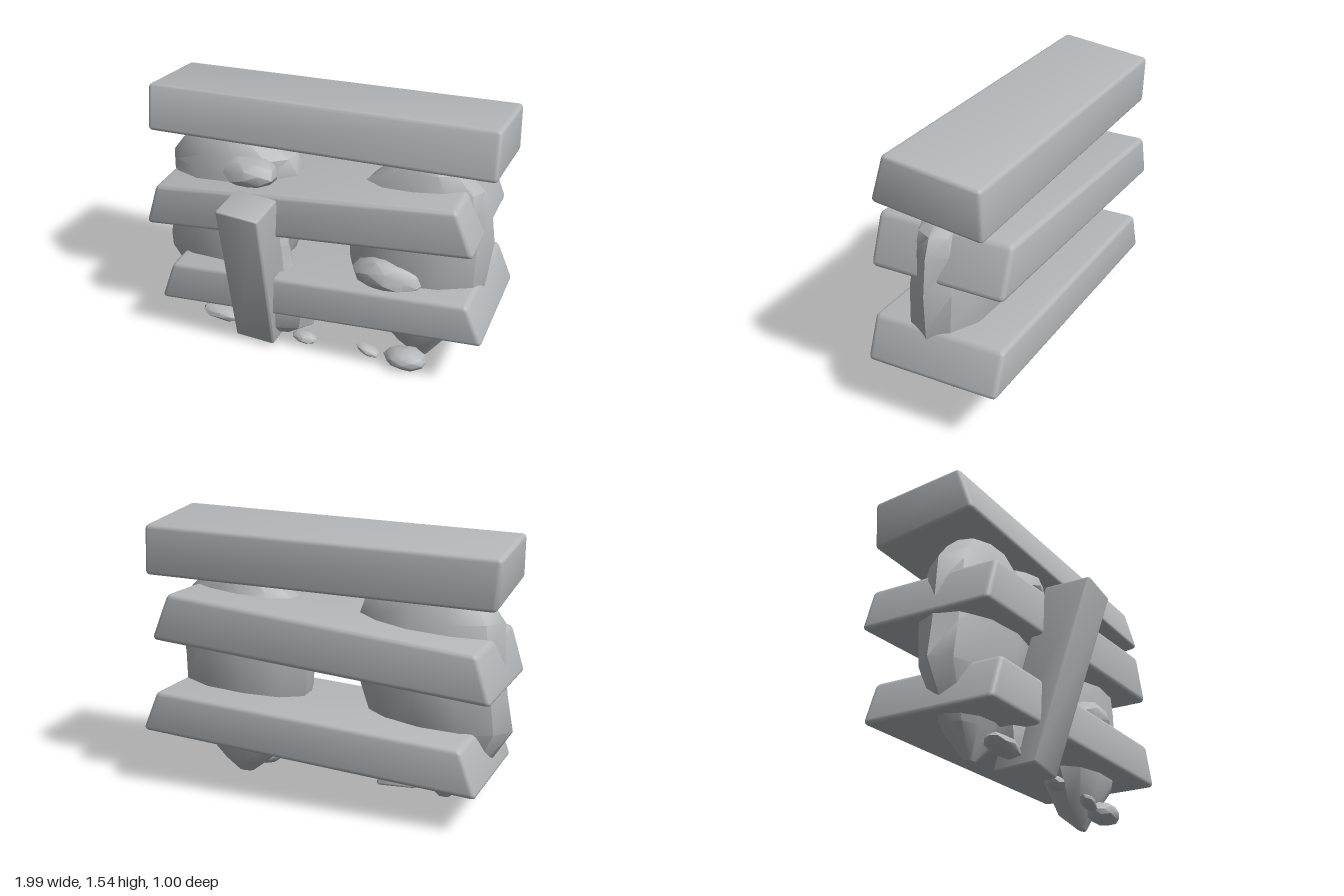
import * as THREE from 'three';
import { toCreasedNormals } from 'three/addons/utils/BufferGeometryUtils.js';
import { RoundedBoxGeometry } from 'three/addons/geometries/RoundedBoxGeometry.js';

export function createModel() {
  const group = new THREE.Group();
  const stone = new THREE.MeshStandardMaterial({ color: 0xb4b6b8 });
  stone.name = 'stone grey';

  const add = (name, geometry) => {
    const mesh = new THREE.Mesh(geometry, stone);
    mesh.name = name;
    group.add(mesh);
    return mesh;
  };

  // Soft-edged block stretched between eight corners.
  // Corner order: bottom then top; in each back-left, back-right, front-left, front-right.
  const block = (name, size, c, radius = 0.025) => {
    const [w, h, d] = size;
    const g = new RoundedBoxGeometry(w, h, d, 2, radius);
    const p = g.attributes.position;
    for (let i = 0; i < p.count; i++) {
      const u = p.getX(i) / w + 0.5, v = p.getY(i) / h + 0.5, t = p.getZ(i) / d + 0.5;
      const out = [0, 0, 0];
      c.forEach((corner, k) => {
        const wt = (k & 1 ? u : 1 - u) * (k & 2 ? t : 1 - t) * (k & 4 ? v : 1 - v);
        corner.forEach((value, a) => { out[a] += value * wt; });
      });
      p.setXYZ(i, ...out);
    }
    return add(name, toCreasedNormals(g, 0.7));
  };

  // Boulder lofted through level rings: [y, x0, x1, z0, z1]
  const boulder = (name, rings, sides = 11, twist = 0) => {
    const pos = [], index = [];
    rings.forEach(([y, x0, x1, z0, z1], i) => {
      for (let j = 0; j < sides; j++) {
        const a = (j / sides) * Math.PI * 2 + twist;
        const bump = 1 + 0.025 * Math.sin(j * 2.3 + i * 1.7);
        pos.push((x0 + x1) / 2 + (x1 - x0) / 2 * Math.cos(a) * bump, y,
          (z0 + z1) / 2 + (z1 - z0) / 2 * Math.sin(a) * bump);
        if (i < rings.length - 1) {
          const p = i * sides + j, q = i * sides + (j + 1) % sides;
          index.push(p, p + sides, q, q, p + sides, q + sides);
        }
      }
    });
    // Close both ends
    const last = (rings.length - 1) * sides;
    for (let j = 1; j < sides - 1; j++) {
      index.push(0, j, j + 1, last, last + j + 1, last + j);
    }
    const g = new THREE.BufferGeometry();
    g.setAttribute('position', new THREE.Float32BufferAttribute(pos, 3));
    g.setIndex(index);
    return add(name, toCreasedNormals(g, 0.6));
  };

  // Small uneven stone
  const pebble = (name, centre, size, seed, tilt = 0) => {
    const g = new THREE.IcosahedronGeometry(1, 1);
    const p = g.attributes.position;
    for (let i = 0; i < p.count; i++) {
      const x = p.getX(i), y = p.getY(i), z = p.getZ(i);
      const k = 0.96 + 0.09 * Math.sin(x * 4 + seed) * Math.cos(y * 3 + z * 4 + seed);
      p.setXYZ(i, x * k * size[0] / 2, y * k * size[1] / 2, z * k * size[2] / 2);
    }
    const mesh = add(name, toCreasedNormals(g, 0.6));
    mesh.position.set(...centre);
    mesh.rotation.z = tilt;
  };

  // Stacked beams
  block('topBeam', [1.98, 0.3, 0.58], [
    [-0.98, 1.155, -0.45], [0.985, 1.205, -0.43], [-0.98, 1.235, 0.14], [0.99, 1.285, 0.17],
    [-1.0, 1.42, -0.45], [0.98, 1.48, -0.42], [-1.0, 1.48, 0.06], [0.98, 1.545, 0.10]]);
  const plank = (name, y, bottom, top) => {
    const corners = [];
    [bottom, top].forEach(([x0, y0, x1, y1]) => [-0.5, 0.24].forEach((z) =>
      corners.push([x0, y0, z], [x1, y1, z])));
    return block(name, [1.85, y, 0.74], corners, 0.028);
  };
  plank('middleBeam', 0.26, [-0.98, 0.695, 0.92, 0.865], [-0.9, 0.955, 0.81, 1.13]);
  plank('lowerBeam', 0.25, [-0.92, 0.205, 1.0, 0.34], [-0.83, 0.46, 0.9, 0.575]);

  // Leaning front post
  block('leaningPost', [0.24, 1.0, 0.24], [
    [-0.455, 0.03, -0.03], [-0.22, 0.02, -0.03], [-0.455, 0.04, 0.21], [-0.22, 0.025, 0.21],
    [-0.405, 1.03, 0.24], [-0.165, 1.01, 0.24], [-0.405, 1.03, 0.505], [-0.165, 1.01, 0.505]], 0.014);

  // Two large boulders holding the beams
  boulder('rightBoulder', [
    [0.01, 0.54, 0.63, -0.07, -0.03], [0.1, 0.42, 0.7, -0.17, 0.03], [0.3, 0.23, 0.89, -0.23, 0.11],
    [0.58, 0.14, 0.94, -0.28, 0.13], [0.8, 0.13, 0.95, -0.3, 0.13], [1.0, 0.17, 0.92, -0.27, 0.1],
    [1.1, 0.26, 0.89, -0.24, 0.07], [1.2, 0.39, 0.77, -0.22, 0.05], [1.25, 0.5, 0.69, -0.18, 0.02]]);
  boulder('leftBoulder', [
    [0.03, -0.66, -0.59, -0.08, -0.03], [0.18, -0.82, -0.42, -0.18, 0.05], [0.45, -0.99, -0.22, -0.27, 0.12],
    [0.65, -0.97, -0.15, -0.3, 0.14], [0.85, -0.95, -0.13, -0.3, 0.14], [1.03, -0.93, -0.14, -0.27, 0.12],
    [1.12, -0.87, -0.18, -0.24, 0.1], [1.21, -0.78, -0.34, -0.21, 0.07], [1.25, -0.68, -0.42, -0.18, 0.03]], 11, 0.3);

  // Wedged stones
  boulder('footStone', [
    [0.06, -0.36, -0.14, 0.0, 0.13], [0.13, -0.5, -0.03, -0.05, 0.19], [0.26, -0.53, 0.0, -0.07, 0.21],
    [0.45, -0.46, -0.13, -0.05, 0.2], [0.65, -0.36, -0.17, 0.0, 0.16]], 9);
  pebble('upperStone', [-0.38, 1.06, 0.08], [0.33, 0.19, 0.25], 1);
  pebble('middleStone', [0.43, 0.58, 0.09], [0.42, 0.23, 0.24], 2.4, -0.08);

  // Loose chips on the ground
  pebble('looseStone', [0.55, 0.067, 0.11], [0.26, 0.125, 0.18], 3);
  pebble('looseStone', [-0.58, 0.1, 0.1], [0.27, 0.09, 0.15], 4, -0.1);
  pebble('looseStone', [-0.06, 0.063, 0.12], [0.15, 0.075, 0.1], 5, -0.1);
  pebble('looseStone', [0.33, 0.072, 0.12], [0.15, 0.055, 0.09], 6, -0.35);

  return group;
}
